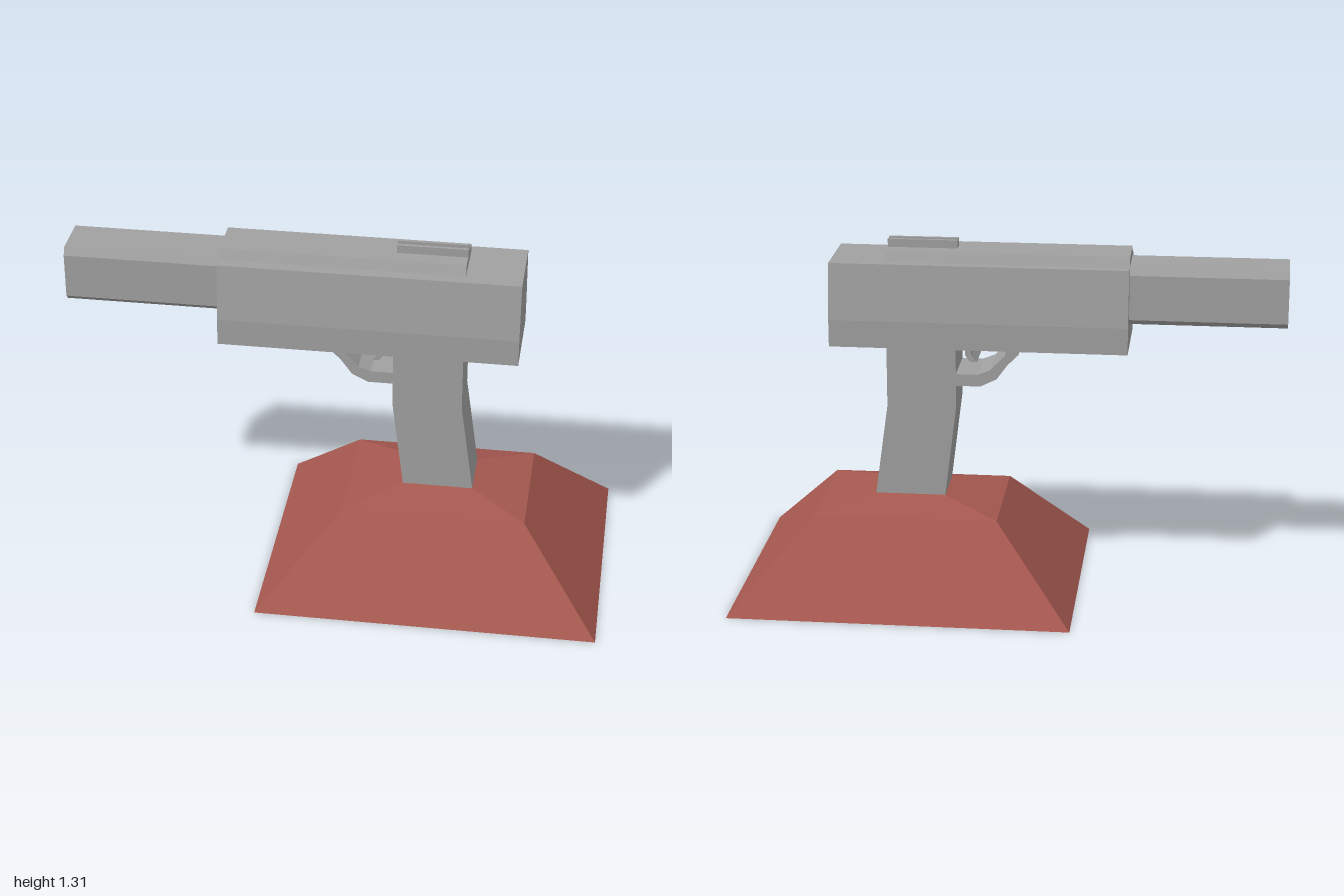
import * as THREE from 'three';

const grey = new THREE.MeshStandardMaterial({ color: 0xa0a0a0 });
grey.name = 'gunmetal grey';
const red = new THREE.MeshStandardMaterial({ color: 0xa5584f });
red.name = 'brick red';

function outline(points) {
  return new THREE.Shape(points.map(([x, y]) => new THREE.Vector2(x, y)));
}

function addMesh(group, name, geometry, material) {
  const mesh = new THREE.Mesh(geometry, material);
  mesh.name = name;
  group.add(mesh);
}

// Side outline given as [x, y], extruded across z
function sidePlate(points, halfWidth) {
  const geo = new THREE.ExtrudeGeometry(outline(points), { depth: halfWidth * 2, bevelEnabled: false });
  return geo.translate(0, 0, -halfWidth);
}

// Cross-section given as [z, y], extruded along x from x0 to x1
function lengthwise(points, x0, x1) {
  const flipped = points.map(([z, y]) => [-z, y]).reverse();
  const geo = new THREE.ExtrudeGeometry(outline(flipped), { depth: x1 - x0, bevelEnabled: false });
  return geo.rotateY(Math.PI / 2).translate(x0, 0, 0);
}

// Mirrors the +z half of a section, listed bottom to top
function mirrored(half) {
  return [...half, ...half.map(([z, y]) => [-z, y]).reverse()];
}

// Sloping walls between stacked rectangles [y, x0, x1, halfDepth], closed on top
function pedestalGeometry(levels) {
  const rings = levels.map(([y, x0, x1, d]) => [[x0, y, d], [x1, y, d], [x1, y, -d], [x0, y, -d]]);
  const pos = [];
  const quad = (a, b, c, d) => pos.push(...a, ...b, ...c, ...a, ...c, ...d);
  for (let i = 0; i < rings.length - 1; i++) {
    for (let j = 0; j < 4; j++) {
      const k = (j + 1) % 4;
      quad(rings[i][j], rings[i][k], rings[i + 1][k], rings[i + 1][j]);
    }
  }
  quad(...rings[rings.length - 1]);
  const geo = new THREE.BufferGeometry();
  geo.setAttribute('position', new THREE.Float32BufferAttribute(pos, 3));
  geo.computeVertexNormals();
  return geo;
}

export function createModel() {
  const model = new THREE.Group();
  model.name = 'pistolOnPedestal';

  // Two-stage pedestal with a grey underside
  addMesh(model, 'pedestal', pedestalGeometry([
    [0, -0.255, 1, 0.505],
    [0.313, 0.036, 0.71, 0.24],
    [0.356, 0.243, 0.503, 0.1],
  ]), red);
  const underside = new THREE.PlaneGeometry(1.255, 1.01).rotateX(Math.PI / 2).translate(0.3725, 0, 0);
  addMesh(model, 'pedestalUnderside', underside, grey);

  // Grip with a bend part way down
  addMesh(model, 'grip', sidePlate([
    [0.243, 0.356], [0.503, 0.356], [0.455, 0.7], [0.455, 0.945], [0.2, 0.945], [0.2, 0.7],
  ], 0.1), grey);

  // Trigger guard and trigger, as wide as the grip
  addMesh(model, 'triggerGuard', sidePlate([
    [-0.033, 0.945], [-0.03, 0.91], [0.01, 0.87], [0.05, 0.815], [0.11, 0.785], [0.2, 0.785],
    [0.2, 0.83], [0.12, 0.83], [0.075, 0.848], [0.02, 0.905], [0.012, 0.945],
  ], 0.1), grey);
  addMesh(model, 'trigger', sidePlate([
    [0.143, 0.945], [0.143, 0.905], [0.122, 0.878], [0.15, 0.88], [0.166, 0.905], [0.166, 0.945],
  ], 0.1), grey);

  // Main body, leaning in above the lower sides
  addMesh(model, 'body', lengthwise(
    mirrored([[0.164, 0.94], [0.164, 1.04], [0.138, 1.247]]), -0.43, 0.657,
  ).translate(0, 0, 0.005), grey);

  // Barrel with bevelled corners
  addMesh(model, 'barrel', lengthwise(
    mirrored([[0.08, 1.035], [0.1, 1.055], [0.1, 1.22], [0.083, 1.248]]), -1, -0.42,
  ), grey);

  // Raised top rib
  addMesh(model, 'topRib', lengthwise(
    mirrored([[0.1, 1.24], [0.1, 1.247], [0.081, 1.284]]), -0.43, 0.455,
  ), grey);

  // Notched sight on the rib
  addMesh(model, 'sight', lengthwise(
    mirrored([[0.024, 1.28], [0.024, 1.314], [0.011, 1.314], [0.011, 1.302]]), 0.2, 0.455,
  ), grey);

  return model;
}
